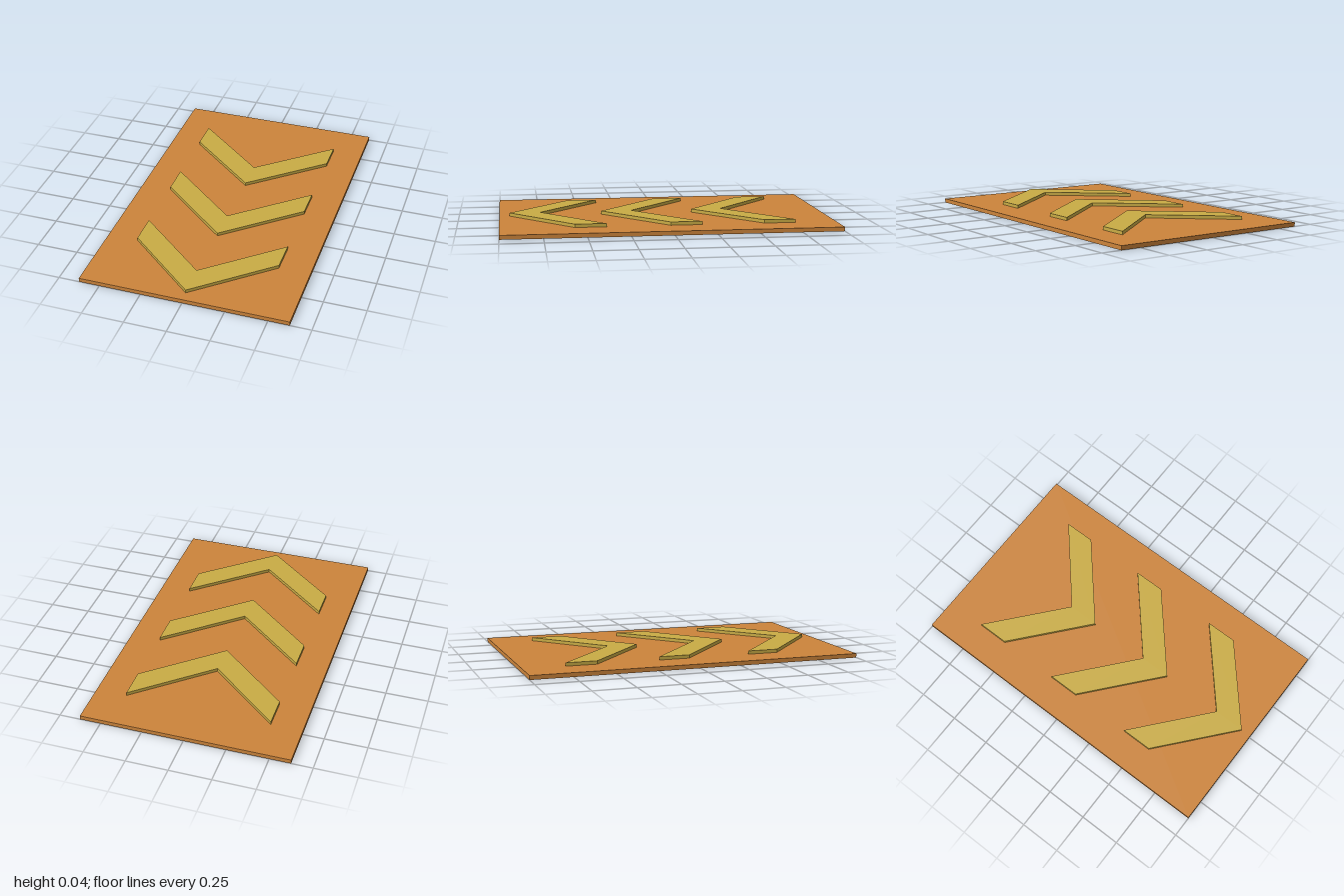
import * as THREE from 'three';

const BASE_HEIGHT = 0.025;
const CHEVRON_HEIGHT = 0.02;
const CHEVRON_SPACING = 0.5625;

// V-shaped bar lying flat, its point towards +z, its arm tips starting at z = 0
function chevronGeometry() {
  const half = 0.4375, depth = 0.375, band = 0.1875;
  const shape = new THREE.Shape([
    [-half, 0], [-half, -band], [0, -depth - band],
    [half, -band], [half, 0], [0, -depth],
  ].map(([x, y]) => new THREE.Vector2(x, y)));
  const geometry = new THREE.ExtrudeGeometry(shape, { depth: CHEVRON_HEIGHT, bevelEnabled: false });
  return geometry.rotateX(-Math.PI / 2);
}

export function createModel() {
  const orange = new THREE.MeshStandardMaterial({ color: 0xcc843b });
  orange.name = 'orange';
  const yellow = new THREE.MeshStandardMaterial({ color: 0xc9ac45 });
  yellow.name = 'mustardYellow';

  const model = new THREE.Group();
  model.name = 'chevronPanel';

  // Flat base plate
  const base = new THREE.Mesh(new THREE.BoxGeometry(1.25, BASE_HEIGHT, 2), orange);
  base.name = 'basePlate';
  base.position.y = BASE_HEIGHT / 2;
  model.add(base);

  // Three raised chevrons, from back to front
  const geometry = chevronGeometry();
  ['backChevron', 'middleChevron', 'frontChevron'].forEach((name, i) => {
    const chevron = new THREE.Mesh(geometry, yellow);
    chevron.name = name;
    chevron.position.set(0, BASE_HEIGHT, -0.75 + i * CHEVRON_SPACING);
    model.add(chevron);
  });

  return model;
}
